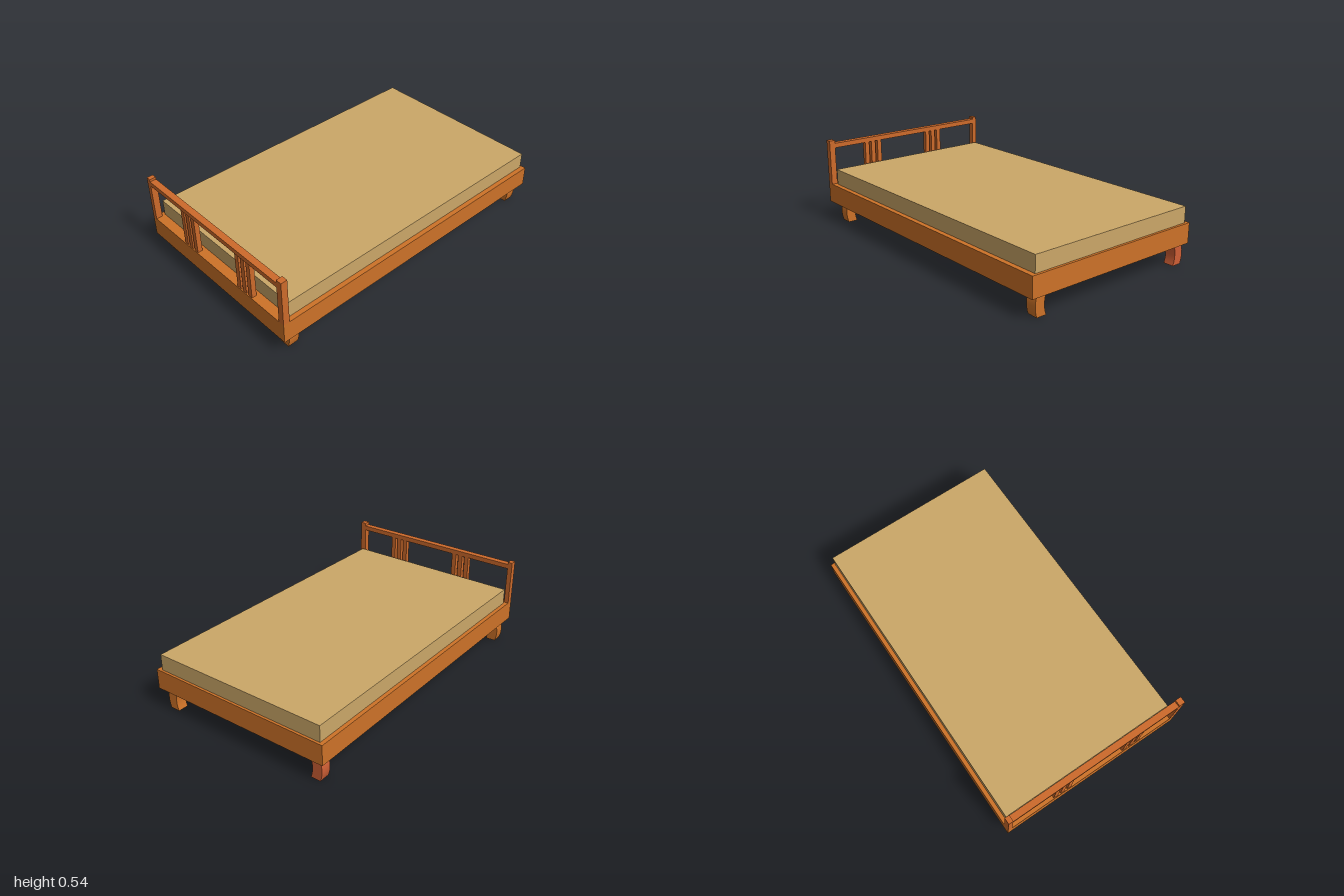
import * as THREE from 'three';

const paint = (color) => new THREE.MeshStandardMaterial({ color });
const wood = paint(0xcd7228);
const headWood = paint(0xcd6a2b);
const redWood = paint(0xcf5f35);
const cloth = paint(0xcba768);

// Box given by its min and max on each axis
function box(name, [x0, x1], [y0, y1], [z0, z1], material) {
  const mesh = new THREE.Mesh(new THREE.BoxGeometry(x1 - x0, y1 - y0, z1 - z0), material);
  mesh.position.set((x0 + x1) / 2, (y0 + y1) / 2, (z0 + z1) / 2);
  mesh.name = name;
  return mesh;
}

// Square leg whose column bows outward (towards side * z) at mid height
function leg(name, x, z, side, material) {
  const height = 0.125, width = 0.066;
  const geometry = new THREE.BoxGeometry(width, height, 0.062, 1, 6, 1);
  const p = geometry.attributes.position;
  for (let i = 0; i < p.count; i++) {
    const t = p.getY(i) / (height / 2);
    p.setZ(i, p.getZ(i) + side * 0.012 * (1 - t * t));
  }
  geometry.computeVertexNormals();
  const mesh = new THREE.Mesh(geometry, material);
  mesh.position.set(x, height / 2, z);
  mesh.name = name;
  return mesh;
}

export function createModel() {
  const bed = new THREE.Group();
  bed.name = 'bed';

  // Base and mattress
  bed.add(box('bedFrame', [-1, 1], [0.125, 0.25], [-0.6, 0.6], wood));
  bed.add(box('mattress', [-0.94, 0.985], [0.25, 0.35], [-0.575, 0.57], cloth));

  // Legs
  bed.add(leg('frontRightLeg', -0.902, 0.512, 1, wood));
  bed.add(leg('frontLeftLeg', 0.94, 0.512, 1, wood));
  bed.add(leg('backRightLeg', -0.902, -0.54, -1, wood));
  bed.add(leg('backLeftLeg', 0.945, -0.536, -1, redWood));

  // Headboard at the right end: two posts, a top rail and two sets of slats
  const headboard = new THREE.Group();
  headboard.name = 'headboard';
  const depth = [-1, -0.96];
  headboard.add(box('frontPost', depth, [0.25, 0.54], [0.562, 0.6], headWood));
  headboard.add(box('backPost', depth, [0.25, 0.535], [-0.6, -0.57], headWood));
  headboard.add(box('topRail', depth, [0.49, 0.52], [-0.57, 0.562], headWood));
  for (const start of [0.32, -0.17]) {
    for (let i = 0; i < 3; i++) {
      const z = start - i * 0.047;
      headboard.add(box('slat', [-0.995, -0.965], [0.25, 0.49], [z - 0.015, z + 0.015], headWood));
    }
  }
  bed.add(headboard);
  return bed;
}
